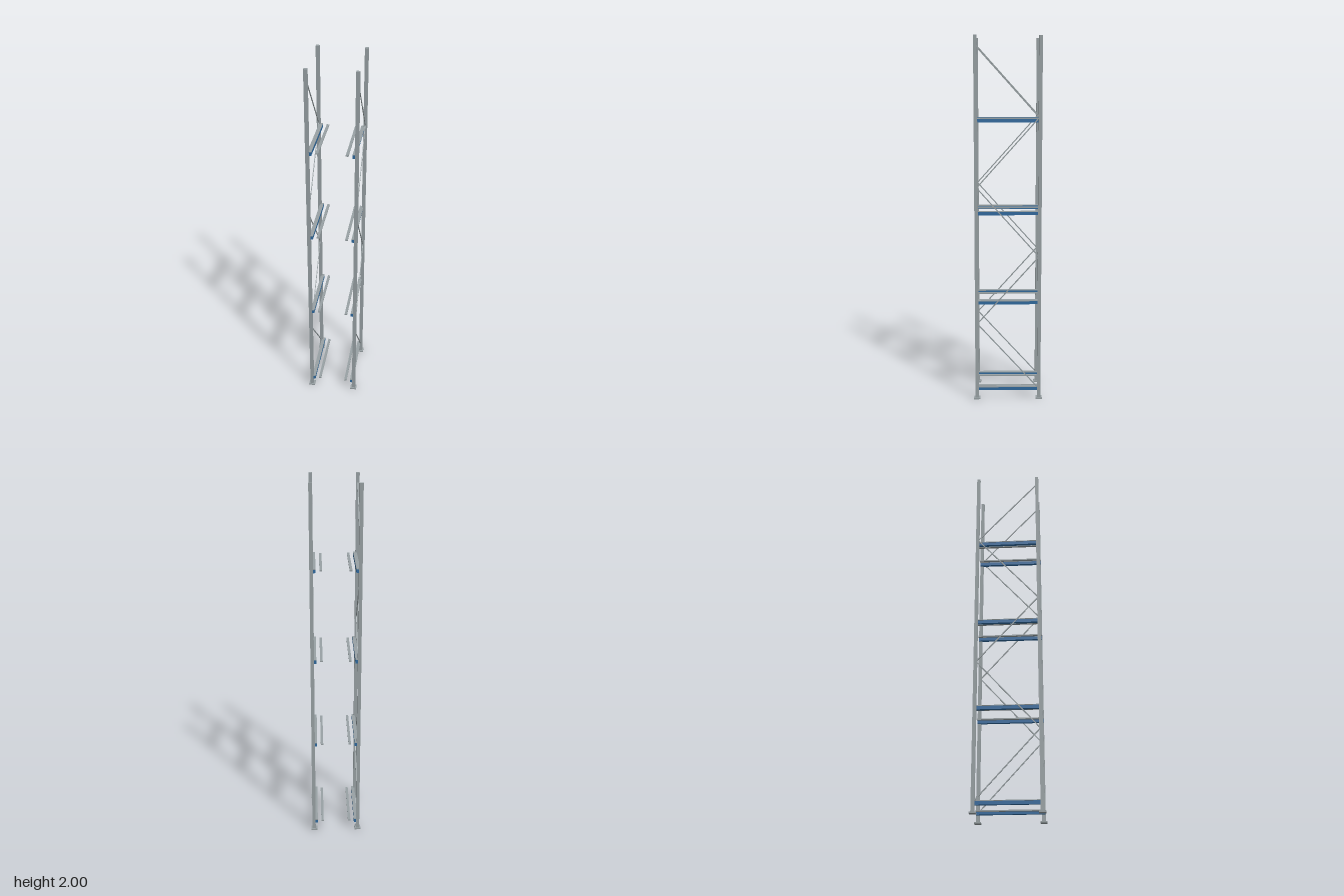
import * as THREE from 'three';

export function createModel() {
  const root = new THREE.Group();
  root.name = 'storageRack';
  const steel = new THREE.MeshStandardMaterial({ color: 0x98a1a4 });
  steel.name = 'galvanised steel';
  const blue = new THREE.MeshStandardMaterial({ color: 0x2f6a9f });
  blue.name = 'blue paint';

  const box = (parent, name, mat, size, pos) => {
    const mesh = new THREE.Mesh(new THREE.BoxGeometry(...size), mat);
    mesh.name = name;
    mesh.position.set(...pos);
    parent.add(mesh);
    return mesh;
  };

  const postX = 0.127, postZ = 0.173, postW = 0.019;
  const levels = [0.045, 0.545, 1.045, 1.545]; // underside of each rail
  // zigzag bracing nodes [z, y]
  const nodes = [[-0.17, 0.06], [0.17, 0.435], [-0.17, 0.815], [0.17, 1.195], [-0.17, 1.575], [0.17, 1.95]];

  for (const s of [1, -1]) {
    const frame = new THREE.Group();
    frame.name = s > 0 ? 'leftFrame' : 'rightFrame';
    root.add(frame);

    // uprights on foot plates
    for (const z of [postZ, -postZ]) {
      box(frame, 'upright', steel, [postW, 1.992, postW], [s * postX, 1.004, z]);
      box(frame, 'footPlate', steel, [0.035, 0.008, 0.035], [s * 0.126, 0.004, z]);
    }

    // diagonal braces
    for (let i = 0; i < nodes.length - 1; i++) {
      const [z0, y0] = nodes[i], [z1, y1] = nodes[i + 1];
      const brace = box(frame, 'brace', steel,
        [0.004, 0.006, Math.hypot(z1 - z0, y1 - y0)],
        [s * postX, (y0 + y1) / 2, (z0 + z1) / 2]);
      brace.rotation.x = -Math.atan2(y1 - y0, z1 - z0);
    }

    // support rails with steel caps, and the slim inner rails
    for (const y of levels) {
      box(frame, 'supportRail', blue, [0.017, 0.018, 0.362], [s * 0.1135, y + 0.009, 0]);
      box(frame, 'railCap', steel, [0.02, 0.004, 0.362], [s * 0.115, y + 0.02, 0]);
      box(frame, 'innerRail', steel, [0.014, 0.007, 0.362], [s * 0.0775, y + 0.0125, 0]);
    }
  }
  return root;
}
